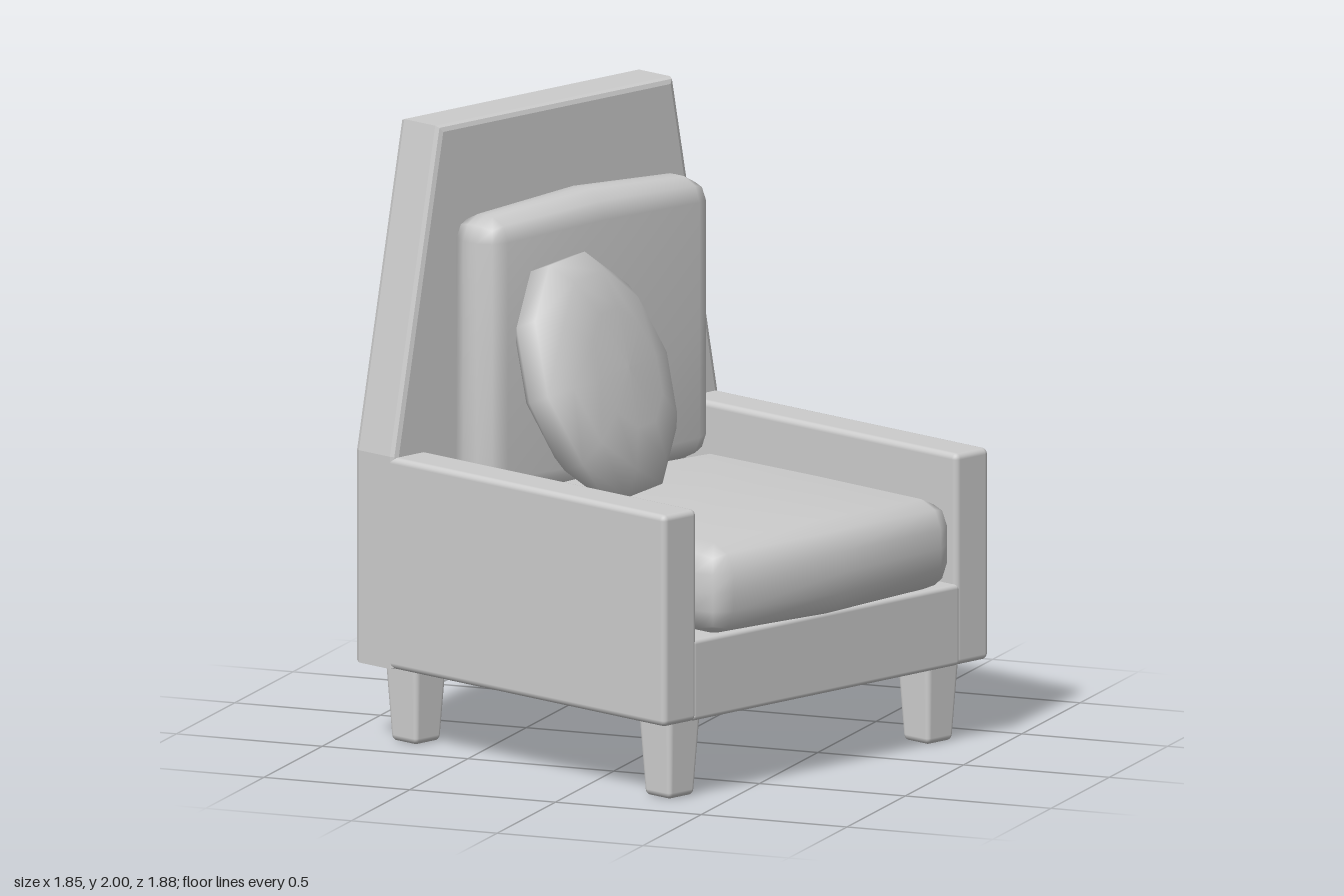
import * as THREE from 'three';
import { mergeVertices } from 'three/addons/utils/BufferGeometryUtils.js';
import { RoundedBoxGeometry } from 'three/addons/geometries/RoundedBoxGeometry.js';

const material = new THREE.MeshStandardMaterial({ color: 0xcccccc });

function add(parent, name, geometry, x = 0, y = 0, z = 0) {
  const mesh = new THREE.Mesh(geometry, material);
  mesh.name = name;
  mesh.position.set(x, y, z);
  parent.add(mesh);
  return mesh;
}

// Soft box from half sizes: rounded edges of radius r, faces swelling towards the middle
function cushion(hx, hy, hz, r, swellY, swellZ) {
  let geo = new THREE.BoxGeometry(2, 2, 2, 4, 4, 4);
  geo.deleteAttribute('normal');
  geo.deleteAttribute('uv');
  geo = mergeVertices(geo);
  const pos = geo.attributes.position;
  const half = new THREE.Vector3(hx, hy, hz);
  const core = half.clone().subScalar(r);
  const p = new THREE.Vector3(), c = new THREE.Vector3(), low = core.clone().negate();
  for (let i = 0; i < pos.count; i++) {
    p.fromBufferAttribute(pos, i);
    // the half-way grid lines move out to where the rounding begins
    for (const k of ['x', 'y', 'z']) {
      const a = Math.abs(p[k]);
      p[k] = Math.sign(p[k]) * (a > 0.9 ? half[k] : a > 0.1 ? core[k] : 0);
    }
    c.copy(p).clamp(low, core);
    p.sub(c).normalize().multiplyScalar(r).add(c);
    const u = 1 - (p.x / hx) ** 2, v = 1 - (p.y / hy) ** 2, w = 1 - (p.z / hz) ** 2;
    p.y += Math.sign(p.y) * swellY * u * (0.4 + 0.6 * w);
    p.z += Math.sign(p.z) * swellZ * u * (0.6 + 0.4 * v);
    pos.setXYZ(i, p.x, p.y, p.z);
  }
  geo.computeVertexNormals();
  return geo;
}

// Back panel: straight up to the arms, then tapering to the top
function backPanel() {
  const b = 0.02;
  const pts = [[0.73, 0.26], [0.73, 0.95], [0.53, 2], [-0.53, 2], [-0.73, 0.95], [-0.73, 0.26]];
  const shape = new THREE.Shape(pts.map(([x, y]) =>
    new THREE.Vector2(x - Math.sign(x) * b, y === 2 ? y - b : y === 0.26 ? y + b : y)));
  return new THREE.ExtrudeGeometry(shape, {
    depth: 0.18 - 2 * b, bevelEnabled: true, bevelSize: b, bevelThickness: b, bevelSegments: 2,
  }).translate(0, 0, b);
}

// Leg: rounded square post narrowing downwards
function leg() {
  const h = 0.29;
  const geo = new RoundedBoxGeometry(0.15, h, 0.15, 2, 0.02);
  const pos = geo.attributes.position;
  for (let i = 0; i < pos.count; i++) {
    const s = 0.88 + 0.24 * (pos.getY(i) / h);
    pos.setX(i, pos.getX(i) * s);
    pos.setZ(i, pos.getZ(i) * s);
  }
  return geo.translate(0, h / 2, 0);
}

export function createModel() {
  const model = new THREE.Group();
  model.name = 'armchair';

  // The whole chair is turned about the vertical axis
  const chair = new THREE.Group();
  chair.name = 'chair';
  chair.rotation.y = 1.162;
  model.add(chair);

  // Open frame: back, two arms and front rail
  add(chair, 'backPanel', backPanel(), 0, 0, -0.7);
  for (const s of [1, -1]) {
    const side = s > 0 ? 'left' : 'right';
    add(chair, side + 'Arm', new RoundedBoxGeometry(0.15, 0.69, 1.36, 2, 0.02), s * 0.655, 0.605, 0.02);
    add(chair, side + 'FrontLeg', leg(), s * 0.58, 0, 0.573);
    add(chair, side + 'BackLeg', leg(), s * 0.58, 0, -0.573);
  }
  add(chair, 'frontRail', new RoundedBoxGeometry(1.2, 0.265, 0.15, 2, 0.015), 0, 0.3925, 0.625);

  // Cushions
  add(chair, 'seatCushion', cushion(0.55, 0.145, 0.555, 0.085, 0.018, 0.045), 0, 0.668, 0.18);
  add(chair, 'backCushion', cushion(0.5, 0.45, 0.1, 0.07, 0.035, 0.01), 0, 1.255, -0.41);

  // Ten-sided round pillow leaning against the back
  const profile = [[0, -0.125], [0.2, -0.12], [0.33, -0.09], [0.41, -0.035],
    [0.41, 0.035], [0.33, 0.09], [0.2, 0.12], [0, 0.125]];
  const pillow = add(chair, 'roundPillow',
    new THREE.LatheGeometry(profile.map(([x, y]) => new THREE.Vector2(x, y)), 10), -0.262, 1.21, -0.077);
  pillow.quaternion.setFromUnitVectors(new THREE.Vector3(0, 1, 0),
    new THREE.Vector3(0.3, 0.36, 0.88).normalize());

  return model;
}
